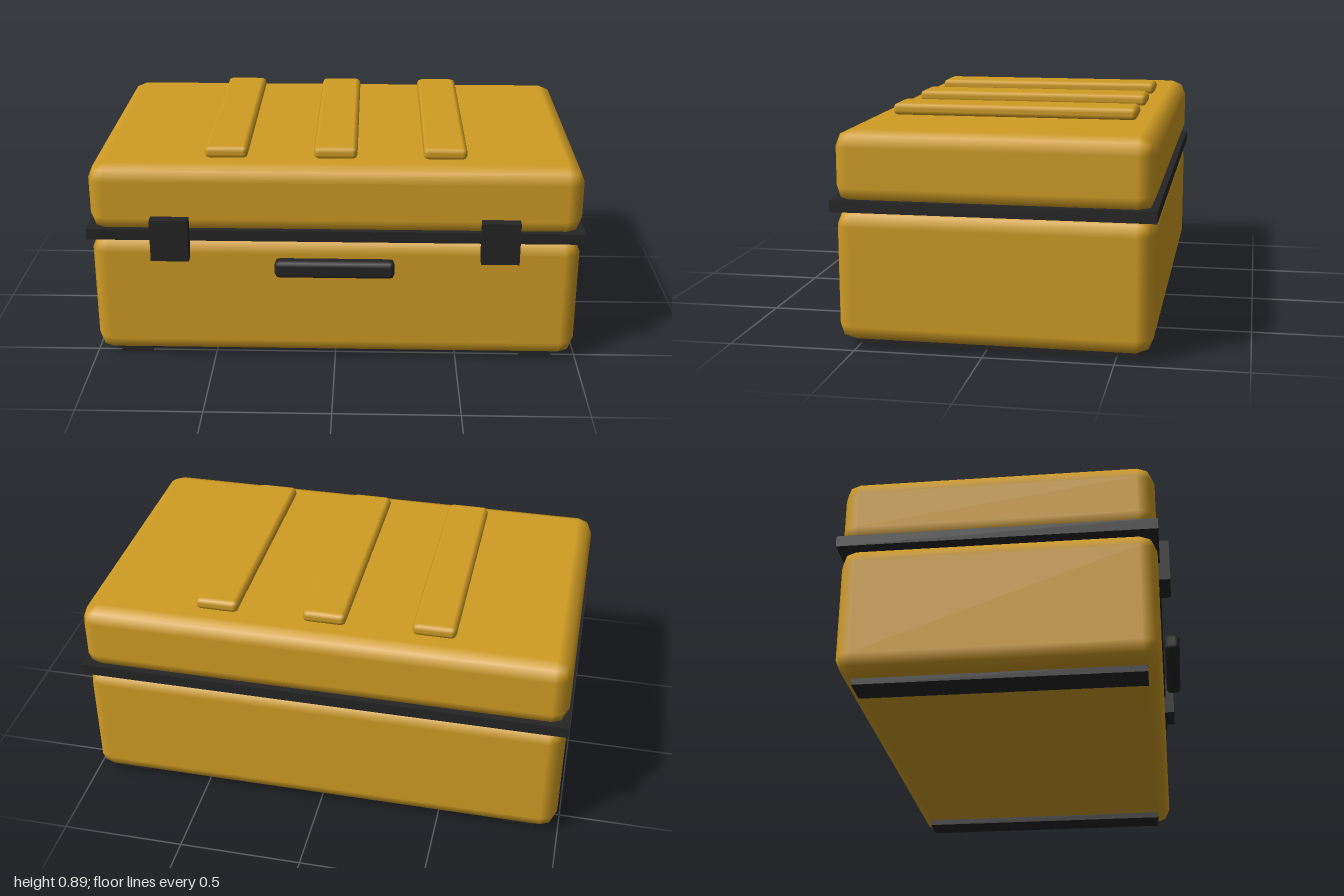
import * as THREE from 'three';
import { RoundedBoxGeometry } from 'three/addons/geometries/RoundedBoxGeometry.js';

export function createModel() {
  const model = new THREE.Group();
  model.name = 'hardCase';
  const amber = new THREE.MeshStandardMaterial({ color: 0xd09c24 });
  amber.name = 'amber shell';
  const black = new THREE.MeshStandardMaterial({ color: 0x252525 });
  black.name = 'black trim';

  // Box given by its limits on each axis; a radius rounds the edges
  function block(name, material, [x0, x1], [y0, y1], [z0, z1], radius = 0, segments = 1) {
    const size = [x1 - x0, y1 - y0, z1 - z0];
    const geometry = radius
      ? new RoundedBoxGeometry(...size, segments, radius)
      : new THREE.BoxGeometry(...size);
    const mesh = new THREE.Mesh(geometry, material);
    mesh.name = name;
    mesh.position.set((x0 + x1) / 2, (y0 + y1) / 2, (z0 + z1) / 2);
    model.add(mesh);
  }

  // Shell halves and the seal between them
  const depth = [-0.64, 0.575];
  block('base', amber, [-0.99, 0.99], [0.025, 0.545], depth, 0.065);
  block('lid', amber, [-0.99, 0.99], [0.565, 0.848], depth, 0.065);
  block('seal', black, [-1, 1], [0.54, 0.585], [-0.65, 0.582]);

  // Raised ribs on the lid
  for (const x of [-0.44, 0, 0.44]) {
    block('lidRib', amber, [x - 0.0875, x + 0.0875], [0.845, 0.895], [-0.528, 0.462], 0.02);
  }

  // Latches and feet, one pair each
  for (const side of [-1, 1]) {
    const name = side > 0 ? 'left' : 'right';
    const span = (a, b) => (side > 0 ? [a, b] : [-b, -a]);
    block(name + 'Latch', black, span(0.585, 0.738), [0.465, 0.64], [0.567, 0.62]);
    block(name + 'Foot', black, span(0.77, 0.9), [0, 0.03], [-0.583, 0.52]);
  }

  // Carrying handle
  block('handle', black, [-0.24, 0.24], [0.405, 0.478], [0.587, 0.65], 0.02);

  return model;
}
